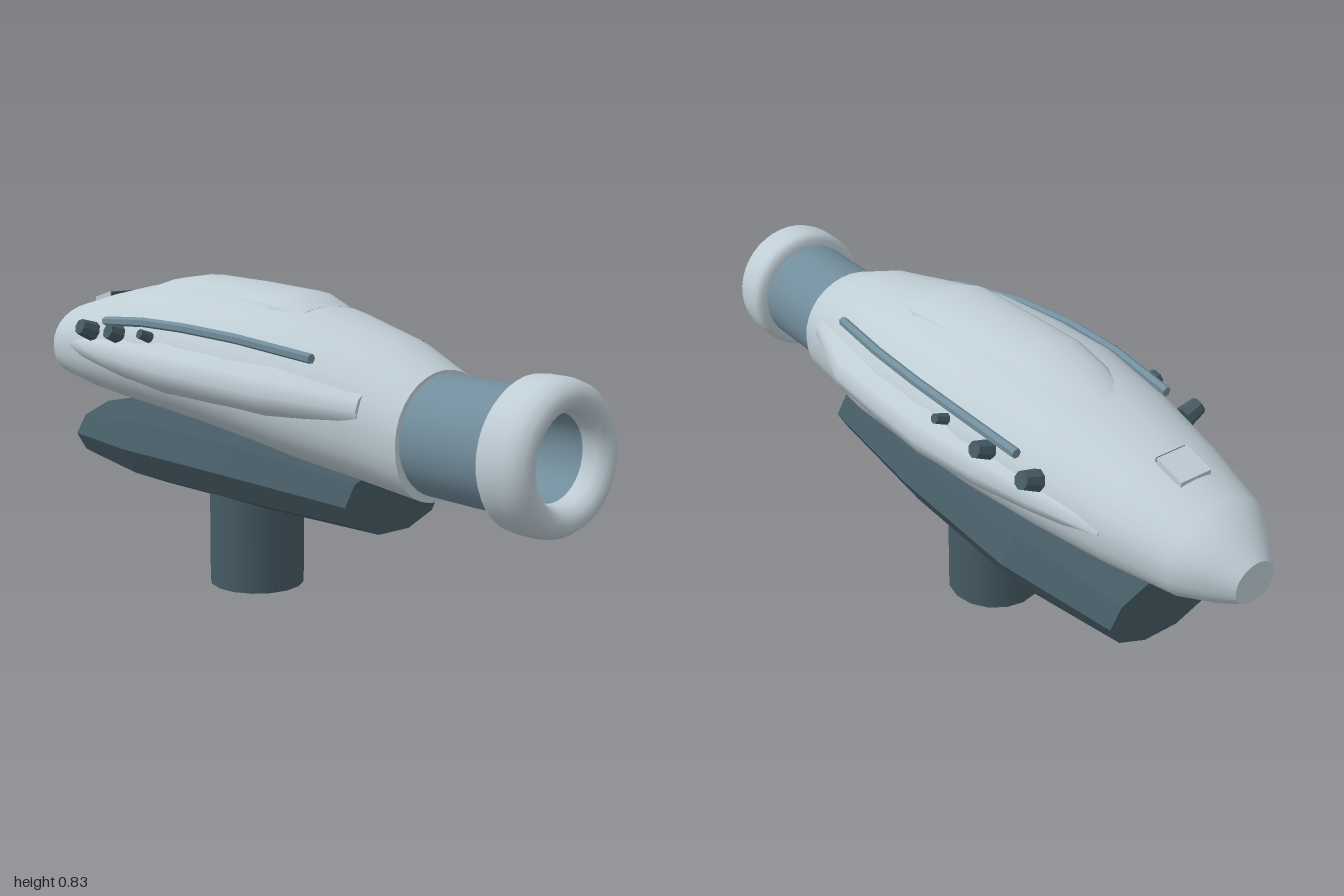
import * as THREE from 'three';

const material = (name, color) => {
  const m = new THREE.MeshStandardMaterial({ color });
  m.name = name;
  return m;
};

// Skin over elliptical sections ordered front to back: [z, centreX, centreY, radiusX, radiusUp, radiusDown]
function loft(sections, sides, power = 1) {
  const pos = [], index = [];
  const ring = ([z, cx, cy, rx, up, down = up]) => {
    const start = pos.length / 3;
    for (let j = 0; j < sides; j++) {
      const a = (j / sides) * Math.PI * 2, c = Math.cos(a), s = Math.sin(a);
      const p = s < 0 ? power : 1; // a power below one makes the underside fuller
      pos.push(cx + rx * Math.sign(c) * Math.abs(c) ** p,
        cy + (s < 0 ? down : up) * Math.sign(s) * Math.abs(s) ** p, z);
    }
    return start;
  };
  const cap = (section, front) => {
    const start = ring(section), mid = pos.length / 3;
    pos.push(section[1], section[2], section[0]);
    for (let j = 0; j < sides; j++) {
      const a = start + j, b = start + (j + 1) % sides;
      index.push(mid, ...(front ? [a, b] : [b, a]));
    }
  };
  const starts = sections.map(ring);
  for (let i = 0; i + 1 < starts.length; i++) {
    for (let j = 0; j < sides; j++) {
      const k = (j + 1) % sides;
      const a = starts[i] + j, b = starts[i] + k, c = starts[i + 1] + j, d = starts[i + 1] + k;
      index.push(a, c, b, b, c, d);
    }
  }
  cap(sections[0], true);
  cap(sections[sections.length - 1], false);
  const g = new THREE.BufferGeometry();
  g.setAttribute('position', new THREE.Float32BufferAttribute(pos, 3));
  g.setIndex(index);
  g.computeVertexNormals();
  return g;
}

function faceted(geometry) {
  const g = geometry.index ? geometry.toNonIndexed() : geometry;
  g.computeVertexNormals();
  return g;
}

export function createModel() {
  const model = new THREE.Group();
  const shell = material('pale shell', 0xbfcdd5);
  const steel = material('blue steel', 0x728d9c);
  const dark = material('dark slate', 0x455a64);
  const shadow = material('bore black', 0x263238);
  const add = (name, geometry, mat) => {
    const m = new THREE.Mesh(geometry, mat);
    m.name = name;
    model.add(m);
    return m;
  };

  // Hull
  add('hull', loft([
    [0.615, 0, 0.518, 0.16, 0.155, 0.16],
    [0.46, 0, 0.55, 0.195, 0.185, 0.175],
    [0.25, 0, 0.58, 0.245, 0.2, 0.18],
    [0.1, 0, 0.6, 0.262, 0.207, 0.18],
    [-0.1, 0, 0.615, 0.272, 0.203, 0.175],
    [-0.28, 0, 0.62, 0.27, 0.2, 0.168],
    [-0.5, 0, 0.615, 0.24, 0.178, 0.158],
    [-0.7, 0, 0.605, 0.2, 0.147, 0.14],
    [-0.88, 0, 0.59, 0.15, 0.118, 0.11],
    [-0.95, 0, 0.58, 0.1, 0.08, 0.083],
    [-1, 0, 0.57, 0.057, 0.05, 0.052],
  ], 32, 0.85), shell);

  // Raised spine along the top
  add('spine', loft([
    [0.21, 0, 0.765, 0.095, 0.022],
    [0.12, 0, 0.775, 0.12, 0.045],
    [-0.08, 0, 0.785, 0.115, 0.045],
    [-0.28, 0, 0.79, 0.112, 0.045],
    [-0.4, 0, 0.775, 0.1, 0.043],
    [-0.51, 0, 0.755, 0.07, 0.035],
  ], 16, 0.7), shell);

  // Small intake near the tail with a dark mouth
  const hood = new THREE.Shape([[-0.72, 0.72], [-0.72, 0.758], [-0.8, 0.735], [-0.8, 0.7]]
    .map(([z, y]) => new THREE.Vector2(-z, y)));
  const hoodGeometry = new THREE.ExtrudeGeometry(hood, { depth: 0.09, bevelEnabled: false });
  hoodGeometry.rotateY(Math.PI / 2).translate(-0.045, 0, 0);
  add('intakeHood', hoodGeometry, shell);
  add('intakeMouth', new THREE.BoxGeometry(0.086, 0.034, 0.006), dark).position.set(0, 0.739, -0.718);

  // Barrel neck, rounded muzzle and bore, all turned around the barrel axis
  const turned = (name, points, mat) => {
    const g = new THREE.LatheGeometry(points.map(([r, z]) => new THREE.Vector2(r, z)), 40);
    add(name, g.rotateX(Math.PI / 2), mat).position.y = 0.518;
  };
  turned('barrelNeck', [[0.147, 0.58], [0.147, 0.88]], steel);
  turned('muzzle', [[0.145, 0.862], [0.165, 0.864], [0.178, 0.878], [0.18, 0.9], [0.18, 0.945],
    [0.174, 0.972], [0.16, 0.992], [0.14, 1], [0.12, 0.992], [0.106, 0.972], [0.101, 0.94]], shell);
  turned('boreWall', [[0.101, 0.94], [0.101, 0.63]], steel);
  add('boreEnd', new THREE.CircleGeometry(0.102, 40), shadow).position.set(0, 0.518, 0.632);

  // Side pods, rails and knobs
  for (const s of [1, -1]) {
    const side = s > 0 ? 'left' : 'right';
    add(side + 'Pod', loft([
      [0.51, 0.115, 0.58, 0.072, 0.055],
      [0.25, 0.165, 0.595, 0.118, 0.075],
      [0.05, 0.18, 0.605, 0.12, 0.08],
      [-0.15, 0.19, 0.612, 0.12, 0.082],
      [-0.35, 0.175, 0.615, 0.113, 0.075],
      [-0.52, 0.15, 0.615, 0.105, 0.06],
      [-0.71, 0.115, 0.61, 0.085, 0.04],
    ].map(([z, x, ...rest]) => [z, x * s, ...rest]), 12), shell);

    const path = new THREE.CurvePath();
    const points = [[0.187, 0.687, 0.355], [0.232, 0.715, 0.12], [0.248, 0.724, -0.08],
      [0.247, 0.722, -0.26], [0.232, 0.706, -0.46]].map(([x, y, z]) => new THREE.Vector3(x * s, y, z));
    for (let i = 0; i < 4; i++) path.add(new THREE.LineCurve3(points[i], points[i + 1]));
    add(side + 'Rail', faceted(new THREE.TubeGeometry(path, 24, 0.013, 6)), steel);
    [points[0], points[4]].forEach((p, i) => {
      const end = add(side + 'RailEnd', new THREE.CircleGeometry(0.013, 6), steel);
      end.position.copy(p);
      end.rotation.y = i * Math.PI;
    });

    for (const [x, y, z, r] of [[0.25, 0.678, -0.53, 0.028], [0.262, 0.682, -0.37, 0.026], [0.265, 0.69, -0.215, 0.016]]) {
      const knob = add(side + 'Knob', faceted(new THREE.CylinderGeometry(r * 0.8, r, 0.05, 8)), dark);
      knob.position.set(x * s, y, z);
      knob.rotation.z = -s * 1.2;
    }
  }

  // Ten-sided cradle and its post
  add('cradle', faceted(loft([
    [0.455, 0, 0.337, 0.165, 0.09],
    [0.03, 0, 0.353, 0.218, 0.12],
    [-0.4, 0, 0.35, 0.226, 0.126],
    [-0.735, 0, 0.337, 0.165, 0.09],
  ], 10)), dark);
  add('post', new THREE.CylinderGeometry(0.13, 0.13, 0.3, 16), dark).position.set(0, 0.15, -0.08);

  return model;
}
